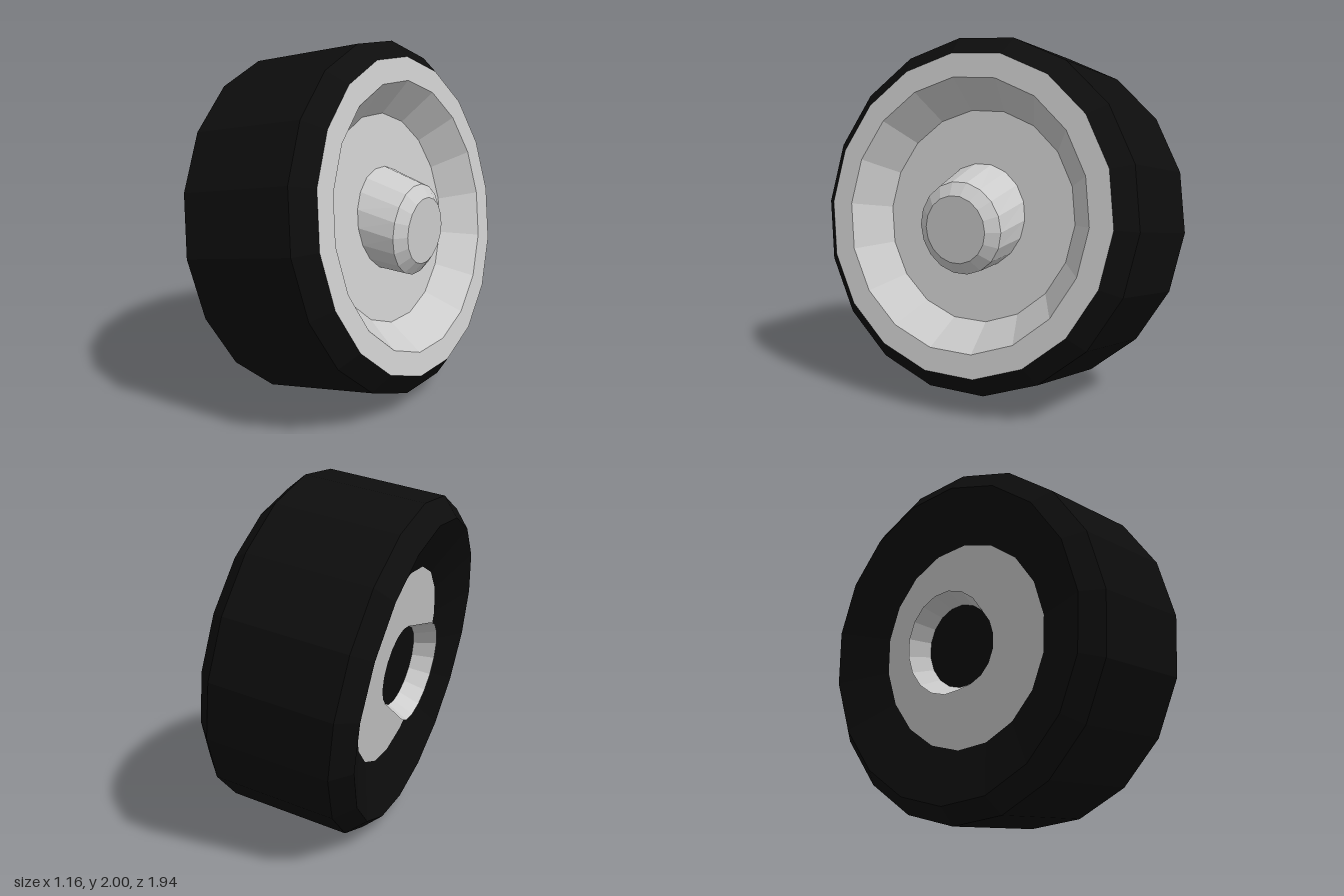
import * as THREE from 'three';

const SIDES = 18;
const TILT = THREE.MathUtils.degToRad(10);

const rubber = new THREE.MeshStandardMaterial({ color: 0x0d0d0d, flatShading: true });
const metal = new THREE.MeshStandardMaterial({ color: 0xcccccc, flatShading: true });

// Revolves [radius, axial] points around the x axis
function turned(profile) {
  const points = profile.map(([r, a]) => new THREE.Vector2(r, a));
  return new THREE.LatheGeometry(points, SIDES).rotateZ(-Math.PI / 2);
}

function part(name, geometry, material) {
  const mesh = new THREE.Mesh(geometry, material);
  mesh.name = name;
  return mesh;
}

// Hub cap: its front stays upright while its base ring leans with the wheel
function hubGeometry() {
  const geometry = turned([[0.285, 0], [0.25, 0.45], [0.182, 0.5], [0, 0.5]]);
  const pos = geometry.attributes.position;
  const v = new THREE.Vector3();
  const axisZ = new THREE.Vector3(0, 0, 1);
  for (let i = 0; i < pos.count; i++) {
    v.fromBufferAttribute(pos, i);
    if (v.x < 0.1) {
      v.x += 0.26;
      v.applyAxisAngle(axisZ, TILT);
    } else {
      v.y += 0.006;
    }
    pos.setXYZ(i, v.x, v.y, v.z);
  }
  geometry.computeVertexNormals();
  return geometry;
}

export function createModel() {
  const model = new THREE.Group();
  model.name = 'wheel';

  // Leaning wheel body
  const body = new THREE.Group();
  body.name = 'wheelBody';
  body.position.y = 1;
  body.rotation.z = TILT;

  // Tyre with chamfered shoulders and a dished back
  body.add(part('tyre', turned([
    [0.57, -0.317], [0.87, -0.437], [0.97, -0.341], [0.97, 0.341], [0.87, 0.437],
  ]), rubber));

  // Front rim: flat lip, sloped wall and recessed disc
  body.add(part('rim', turned([
    [0.87, 0.437], [0.74, 0.437], [0.58, 0.26], [0.285, 0.26],
  ]), metal));

  // Back disc, axle socket flaring outwards, and the socket's dark floor
  body.add(part('backDisc', turned([[0.23, -0.317], [0.57, -0.317]]), metal));
  body.add(part('axleSocket', turned([[0.23, -0.317], [0.285, -0.437]]), metal));
  body.add(part('socketFloor', turned([[0, -0.317], [0.23, -0.317]]), rubber));

  const hub = part('hubCap', hubGeometry(), metal);
  hub.position.y = 1;

  model.add(body, hub);
  return model;
}
